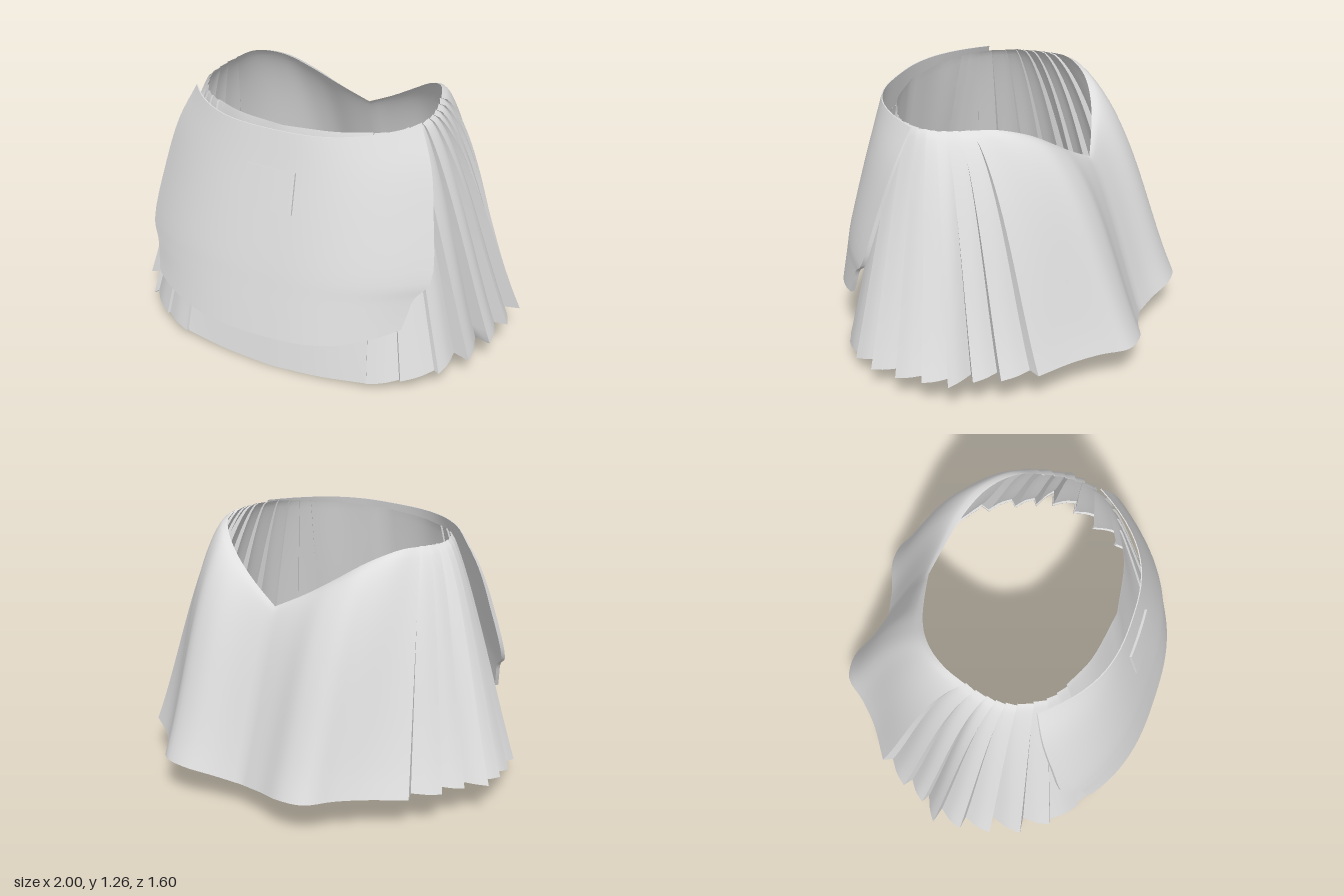
import * as THREE from 'three';
import { toCreasedNormals } from 'three/addons/utils/BufferGeometryUtils.js';

const V = (x, y, z) => new THREE.Vector3(x, y, z);
const spline = (pts) => new THREE.CatmullRomCurve3(pts.map((p) => V(...p)), false, 'centripetal');

// Closed surface through a ring of columns, each column running downwards
function loft(cols, crease) {
  const pos = [], idx = [], rows = cols[0].length, n = cols.length;
  cols.forEach((c) => c.forEach((p) => pos.push(p.x, p.y, p.z)));
  for (let i = 0; i < n; i++) {
    for (let j = 0; j < rows - 1; j++) {
      const a = i * rows + j, b = ((i + 1) % n) * rows + j;
      idx.push(a, b, a + 1, b, b + 1, a + 1);
    }
  }
  const g = new THREE.BufferGeometry();
  g.setAttribute('position', new THREE.Float32BufferAttribute(pos, 3));
  g.setIndex(idx);
  return toCreasedNormals(g, crease);
}

// One fall of cloth from a waist point to a hem point, with a turned-in hem
function clothColumn(waist, hem) {
  const col = [], rows = 22;
  // Fullness: most at the seat and hips, little at the front
  const hip = hem.z < -0.44 ? 0.12 * Math.exp(-(((hem.x - 0.58) / 0.12) ** 2)) : 0;
  const bulge = hip + THREE.MathUtils.clamp(0.33 - hem.z * 0.4, 0.05, 0.5) * Math.min(1, 0.45 + 2 * Math.abs(hem.x));
  for (let j = 0; j <= rows; j++) {
    const t = Math.pow(j / rows, 1.4);
    const f = t + bulge * Math.pow(1 - t, 1.6) * Math.sqrt(t);
    const p = waist.clone().lerp(hem, f);
    p.y = waist.y + (hem.y - waist.y) * t;
    col.push(p);
  }
  col.push(V(hem.x * 0.985, hem.y, hem.z * 0.985), V(hem.x * 0.965, hem.y + 0.04, hem.z * 0.965));
  return col;
}

function skirtGeometry() {
  const half = [];
  // A panel is a stretch of cloth between two pleat edges
  const panel = (waistPts, hemPts, steps) => {
    const w = spline(waistPts), h = spline(hemPts);
    for (let i = 0; i <= steps; i++) {
      const u = i / steps, top = w.getPoint(u);
      const lift = 1 + 0.015 * u;
      half.push(clothColumn(V(top.x * lift, top.y, top.z * lift), h.getPoint(u)));
    }
  };
  // Smooth seat panel, from the centre back to the first pleat
  panel(
    [[0, 0.97, -0.43], [0.15, 1.05, -0.39], [0.29, 1.14, -0.34], [0.39, 1.21, -0.28],
      [0.46, 1.25, -0.21], [0.51, 1.27, -0.13], [0.545, 1.265, -0.03]],
    [[0, 0.15, -0.72], [0.14, 0.165, -0.75], [0.29, 0.19, -0.8], [0.42, 0.195, -0.78],
      [0.51, 0.195, -0.67], [0.62, 0.19, -0.56], [0.78, 0.19, -0.45]], 24);
  // Side pleats: waist end, then hem start and hem tip
  let from = [0.545, 1.265, -0.03];
  const pleats = [
    [[0.56, 1.26, 0.02], [0.76, 0.2, -0.4], [0.87, 0.185, -0.3]],
    [[0.568, 1.255, 0.075], [0.83, 0.2, -0.265], [0.92, 0.18, -0.18]],
    [[0.572, 1.25, 0.12], [0.88, 0.195, -0.155], [1.0, 0.18, -0.09]],
    [[0.57, 1.25, 0.165], [0.92, 0.18, -0.07], [0.985, 0.165, 0.05]],
    [[0.557, 1.245, 0.215], [0.92, 0.165, 0.06], [0.95, 0.135, 0.2]],
    [[0.525, 1.245, 0.28], [0.87, 0.145, 0.19], [0.9, 0.115, 0.35]],
    [[0.49, 1.24, 0.33], [0.82, 0.13, 0.34], [0.8, 0.09, 0.48]],
    [[0.45, 1.24, 0.365], [0.775, 0.1, 0.475], [0.65, 0.07, 0.59]],
    [[0.4, 1.24, 0.395], [0.64, 0.07, 0.58], [0.5, 0.045, 0.65]],
  ];
  for (const [to, start, tip] of pleats) {
    const mid = start.map((s, k) => (s + tip[k]) / 2 * (k === 1 ? 1 : 1.012));
    panel([from, to], [start, mid, tip], 5);
    from = to;
  }
  // Flat under-apron panel to the centre front
  panel([from, [0.25, 1.24, 0.46], [0, 1.24, 0.5]],
    [[0.495, 0.04, 0.64], [0.25, 0.02, 0.668], [0, 0.01, 0.68]], 10);
  const mirrored = half.slice(1, -1).reverse().map((c) => c.map((p) => V(-p.x, p.y, p.z)));
  return loft([...half, ...mirrored], 0.6);
}

// Front apron: rows swept between a centre line and a shaped side edge
function apronGeometry() {
  const edge = [[0.575, 1.25, 0.25], [0.65, 1.08, 0.305], [0.7, 0.85, 0.375], [0.73, 0.57, 0.46],
    [0.675, 0.5, 0.52], [0.655, 0.42, 0.55], [0.64, 0.355, 0.575]];
  const centre = [[0, 1.25, 0.585], [0, 1.07, 0.625], [0, 0.86, 0.675], [0, 0.6, 0.735],
    [0, 0.5, 0.755], [0, 0.4, 0.775], [0, 0.27, 0.8]];
  const e = spline(edge), c = spline(centre), rows = 24, steps = 28;
  const point = (u, v, back) => {
    const a = e.getPoint(v), b = c.getPoint(v), k = 1 - Math.pow(Math.abs(u), 2.7);
    // The right-hand edge is wrapped a little less far round the hip
    const edgeZ = a.z + (u < 0 ? 0.065 : 0);
    // The sheet thins out towards the waist
    const thick = back ? 0.005 + 0.013 * Math.min(1, 3 * v) : 0;
    return V((a.x - thick * 0.6) * u, a.y + (b.y - a.y) * k, edgeZ + (b.z - edgeZ) * k - thick);
  };
  const column = (u, back) => {
    const col = [point(u, 0, true)];
    for (let j = 0; j <= rows; j++) col.push(point(u, j / rows, back));
    col.push(point(u, 1, true));
    return col;
  };
  const cols = [];
  for (let i = 0; i <= steps; i++) cols.push(column(1 - 2 * i / steps, false));
  for (let i = 0; i <= steps; i++) cols.push(column(-1 + 2 * i / steps, true));
  return loft(cols, 0.6);
}

// Small raised buckle plate, gently curved from side to side
function plateGeometry() {
  const g = new THREE.BoxGeometry(0.25, 0.2, 0.024, 10, 1, 1);
  const p = g.attributes.position;
  for (let i = 0; i < p.count; i++) p.setZ(i, p.getZ(i) - 0.3 * p.getX(i) ** 2);
  return toCreasedNormals(g, 0.6);
}

export function createModel() {
  const group = new THREE.Group();
  group.name = 'pleatedKilt';
  const cloth = new THREE.MeshStandardMaterial({ color: 0xdedede, side: THREE.DoubleSide });
  cloth.name = 'pale grey cloth';
  const add = (name, geometry) => {
    const mesh = new THREE.Mesh(geometry, cloth);
    mesh.name = name;
    group.add(mesh);
    return mesh;
  };
  add('pleatedSkirt', skirtGeometry());
  add('frontApron', apronGeometry());
  const plate = add('bucklePlate', plateGeometry());
  plate.position.set(0, 0.98, 0.647);
  plate.rotation.x = -0.235;
  return group;
}
